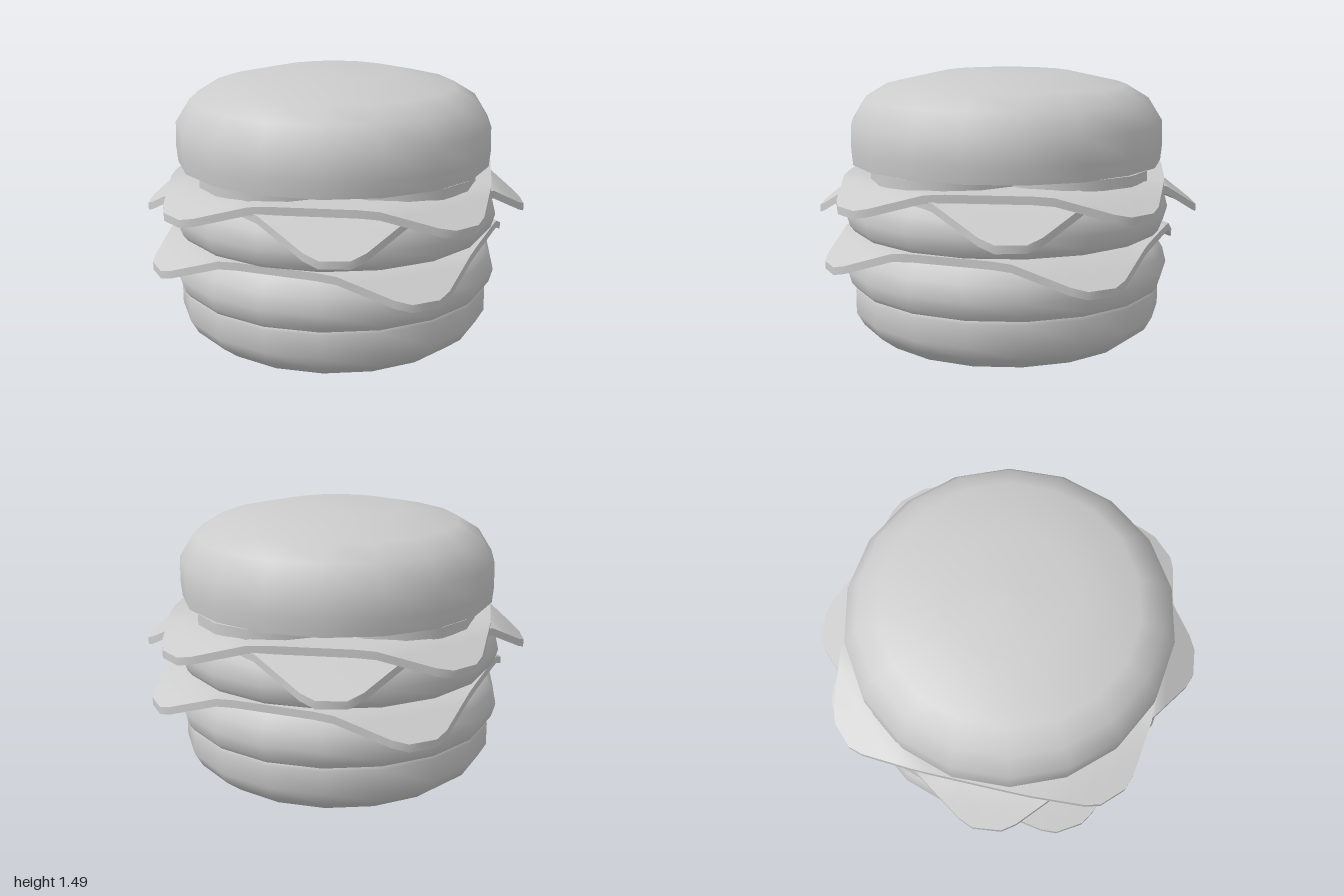
import * as THREE from 'three';

const material = new THREE.MeshStandardMaterial({ color: 0xcccccc });

export function createModel() {
  const group = new THREE.Group();

  function add(name, geometry) {
    const mesh = new THREE.Mesh(geometry, material);
    mesh.name = name;
    group.add(mesh);
    return mesh;
  }

  // Round layer from [radius, y] points, bottom to top
  function round(name, points) {
    const profile = points.map(([r, y]) => new THREE.Vector2(r, y));
    add(name, new THREE.LatheGeometry(profile, 18)).position.z = 0.015;
  }

  // Square cheese slice: blunt corners folded down along a diagonal crease
  function cheese(name, topY, degrees, drop) {
    const thickness = 0.04, crease = 0.78, blunt = 1.06, reach = 0.22;
    const geometry = new THREE.BoxGeometry(1.64, thickness, 1.64, 16, 1, 16);
    const pos = geometry.attributes.position;
    for (let i = 0; i < pos.count; i++) {
      const x = pos.getX(i), z = pos.getZ(i);
      const d = (Math.abs(x) + Math.abs(z)) / Math.SQRT2;
      if (d <= crease) continue;
      const t = Math.min(1, (d - crease) / (blunt - crease));
      const pull = (d - crease - reach * t) / Math.SQRT2;
      pos.setXYZ(i, x - Math.sign(x) * pull, pos.getY(i) - drop * t, z - Math.sign(z) * pull);
    }
    geometry.computeVertexNormals();
    const mesh = add(name, geometry);
    mesh.rotation.y = THREE.MathUtils.degToRad(degrees);
    mesh.position.y = topY - thickness / 2;
  }

  // Buns (repeated points keep the cut faces crisp)
  round('bottomBun', [
    [0, 0], [0.32, 0.01], [0.7, 0.095], [0.785, 0.16], [0.825, 0.23],
    [0.825, 0.35], [0.8, 0.375], [0.8, 0.375], [0, 0.375],
  ]);
  round('topBun', [
    [0, 1.02], [0.82, 1.02], [0.82, 1.02], [0.828, 1.1], [0.825, 1.23], [0.75, 1.35],
    [0.635, 1.42], [0.34, 1.485], [0, 1.49],
  ]);

  // Two equal patties
  for (const [name, y] of [['lowerPatty', 0.365], ['upperPatty', 0.67]]) {
    round(name, [
      [0, y], [0.82, y], [0.82, y], [0.845, y + 0.03], [0.865, y + 0.1],
      [0.845, y + 0.18], [0.8, y + 0.25], [0.72, y + 0.28], [0, y + 0.28],
    ]);
  }

  // Cheese slices, each turned differently
  cheese('lowerCheese', 0.67, 24, 0.12);
  cheese('middleCheese', 0.945, -1, 0.16);
  cheese('upperCheese', 0.975, 37, 0.1);

  // Four tomato slices under the top bun
  for (let i = 0; i < 4; i++) {
    const angle = (i * Math.PI) / 2;
    const slice = add('tomatoSlice', new THREE.CylinderGeometry(0.42, 0.42, 0.055, 14));
    slice.position.set(0.4 * Math.cos(angle), 0.992 + 0.003 * (i % 2), 0.4 * Math.sin(angle));
  }

  return group;
}
